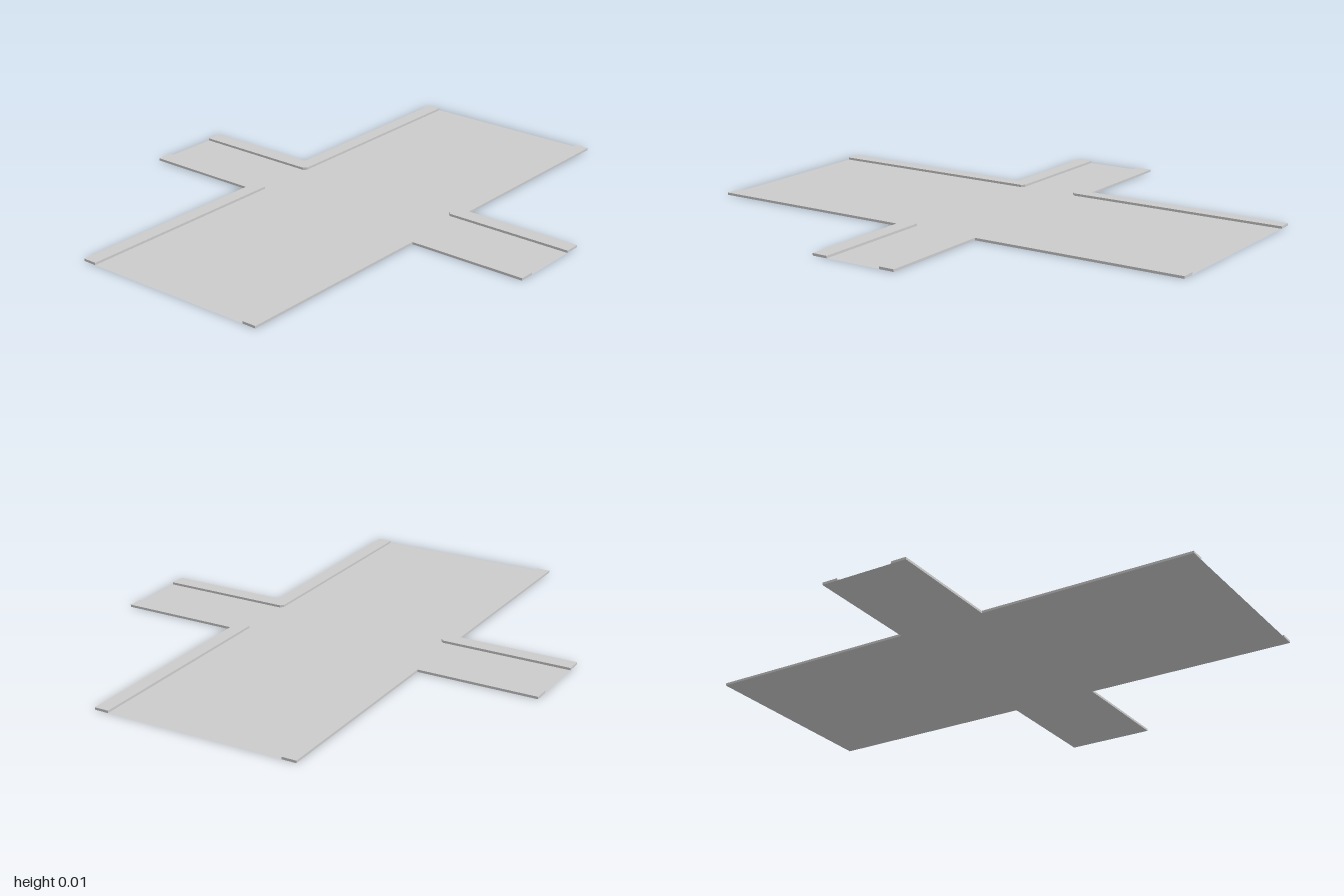
import * as THREE from 'three';

const MAIN = 0.4, ARM = 0.173;       // half widths of the two roads
const MAIN_END = 1, ARM_END = 0.867; // half lengths
const INNER_X = 0.345, INNER_Z = 0.112, CHAMFER = 0.012, HEIGHT = 0.009;

const toShape = (points) => new THREE.Shape(points.map(([x, y]) => new THREE.Vector2(x, y)));

export function createModel() {
  const group = new THREE.Group();
  group.name = 'crossroads';
  const material = new THREE.MeshStandardMaterial({ color: 0xcccccc, flatShading: true, side: THREE.DoubleSide });

  const addFlat = (name, geometry) => {
    geometry.rotateX(-Math.PI / 2);
    const mesh = new THREE.Mesh(geometry, material);
    mesh.name = name;
    group.add(mesh);
  };

  // Flat cross-shaped road surface
  addFlat('roadSurface', new THREE.ShapeGeometry(toShape([
    [-MAIN, -MAIN_END], [MAIN, -MAIN_END], [MAIN, -ARM], [ARM_END, -ARM],
    [ARM_END, ARM], [MAIN, ARM], [MAIN, MAIN_END], [-MAIN, MAIN_END],
    [-MAIN, ARM], [-ARM_END, ARM], [-ARM_END, -ARM], [-MAIN, -ARM],
  ])));

  // One L-shaped raised pavement with a clipped inner corner, mirrored to all four corners
  const corner = [
    [MAIN, MAIN_END], [INNER_X, MAIN_END], [INNER_X, INNER_Z + CHAMFER],
    [INNER_X + CHAMFER, INNER_Z], [ARM_END, INNER_Z], [ARM_END, ARM], [MAIN, ARM],
  ];
  for (const sx of [1, -1]) {
    for (const sy of [1, -1]) {
      const shape = toShape(corner.map(([x, y]) => [sx * x, sy * y]));
      const name = (sy > 0 ? 'back' : 'front') + (sx > 0 ? 'Left' : 'Right') + 'Pavement';
      addFlat(name, new THREE.ExtrudeGeometry(shape, { depth: HEIGHT, bevelEnabled: false }));
    }
  }
  return group;
}
